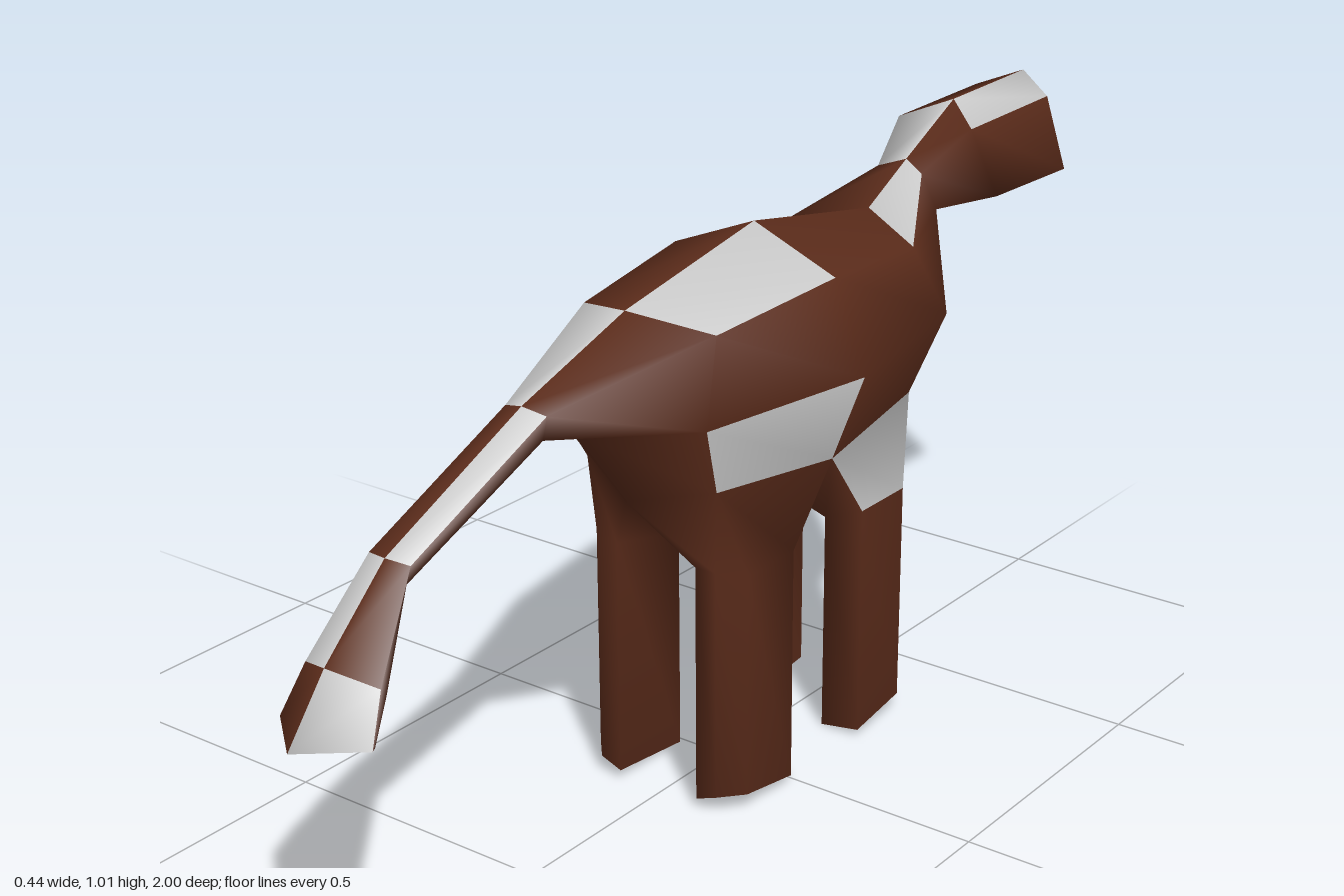
import * as THREE from 'three';

const mat = (color) => new THREE.MeshStandardMaterial({ color, roughness: 0.9 });
const MID = -0.09; // the trunk and legs mirror front to back about this z

// Trunk: the widest ring, then one end which is mirrored for the other
const midRing = { T0: [0, 0.935, MID], U0: [0.16, 0.87, MID], S0: [0.22, 0.715, MID], L0: [0.16, 0.56, MID], B0: [0, 0.5, MID] };
const endPoints = {
  T: [0, 0.875, 0.245], U: [0.13, 0.845, 0.185], S: [0.16, 0.715, 0.25], L: [0.13, 0.585, 0.185], C: [0, 0.56, 0.25],
  // leg section, top (p) and sole (q)
  p0: [0.08, 0.4, 0.01], p1: [0.155, 0.43, 0.01], p2: [0.155, 0.43, 0.135], p3: [0.12, 0.44, 0.175], p4: [0.08, 0.44, 0.175],
  q0: [0.08, 0.003, 0.01], q1: [0.155, 0.015, 0.01], q2: [0.155, 0.035, 0.135], q3: [0.12, 0.035, 0.175], q4: [0.08, 0.02, 0.175],
};

// Tail and head: rings of top, upper side, lower side, bottom
const tailRings = [
  [[0, 0.795, 0.49], [0.04, 0.785, 0.48], [0.04, 0.75, 0.49], [0, 0.745, 0.48]],
  [[0, 0.66, 0.79], [0.04, 0.655, 0.78], [0.04, 0.63, 0.79], [0, 0.625, 0.78]],
  [[0, 0.54, 0.92], [0.073, 0.515, 0.885], [0.073, 0.5, 0.875], [0, 0.535, 0.855]],
  [[0, 0.44, 1], [0.09, 0.44, 0.925], [0.085, 0.44, 0.915], [0, 0.5, 0.9]],
];
const headRings = [
  [[0, 0.935, -0.54], [0.045, 0.92, -0.52], [0.055, 0.85, -0.555], [0, 0.77, -0.585]],
  [[0, 1.01, -0.69], [0.075, 0.98, -0.63], [0.09, 0.845, -0.7], [0, 0.83, -0.625]],
  [[0, 1.015, -0.93], [0.075, 0.985, -0.89], [0.09, 0.84, -0.94], [0, 0.9, -1]],
];

// Collects mirrored faces of the skin; white is 'l' (+x), 'r' (-x) or both
function buildSkin() {
  const points = [], ids = new Map(), parts = {};
  const id = (p) => {
    const key = p.map((v) => Math.round(v * 1e4)).join();
    if (!ids.has(key)) { ids.set(key, points.length); points.push(p); }
    return ids.get(key);
  };
  const add = (name, face, front, white = '') => {
    for (const s of [1, -1]) {
      let f = face.map(([x, y, z]) => id([x === 0 ? 0 : x * s, y, z]));
      if (front !== (s > 0)) f = f.reverse();
      const part = (parts[name] ??= { brown: [], white: [] });
      const list = part[white.includes(s > 0 ? 'l' : 'r') ? 'white' : 'brown'];
      for (let i = 1; i < f.length - 1; i++) list.push(f[0], f[i], f[i + 1]);
    }
  };
  const loft = (name, rings, front, whites) => {
    for (let r = 0; r < rings.length - 1; r++)
      for (let i = 0; i < 3; i++)
        add(name, [rings[r][i], rings[r][i + 1], rings[r + 1][i + 1], rings[r + 1][i]], front, i === 0 ? whites[r] : '');
    const [T, U, L, B] = rings.at(-1);
    add(name, [B, T, U, L], front);
  };

  for (const front of [false, true]) {
    const P = { ...midRing };
    for (const [k, [x, y, z]] of Object.entries(endPoints)) P[k] = [x, y, front ? 2 * MID - z : z];
    P.K = front ? [0, 0.715, -0.56] : [0, 0.72, 0.38];
    [P.rT, P.rU, P.rL, P.rB] = (front ? headRings : tailRings)[0];
    // trunk faces and their white patches
    const faces = [
      ['T0 U0 U T', front ? 'r' : 'l'], ['U0 S0 S U'], ['S0 L0 L S', front ? '' : 'lr'],
      ['L0 p1 p2 L', front ? 'lr' : ''], ['L0 B0 p0 p1'],
      ['T U rU rT', front ? 'l' : 'r'], ['U S rL rU'], ['S K rB rL'], ['S L C K'],
      ['L p2 p3'], ['L p3 p4 C'], ['C p4 p0 B0'],
    ];
    for (const [keys, white] of faces) add('body', keys.split(' ').map((k) => P[k]), front, white);
    // legs
    const legs = front ? 'frontLegs' : 'rearLegs';
    for (let i = 0; i < 5; i++) {
      const j = (i + 1) % 5;
      add(legs, [P['p' + i], P['q' + i], P['q' + j], P['p' + j]], front);
    }
    add(legs, [P.q4, P.q3, P.q2, P.q1, P.q0], front);
  }
  loft('tail', tailRings, false, ['l', 'r', 'l']);
  loft('head', headRings, true, ['r', 'l']);
  return { points, parts };
}

// Turns the skin into one mesh per part, with normals smooth across the seams
function skinMeshes(group) {
  const { points, parts } = buildSkin();
  const whole = new THREE.BufferGeometry();
  whole.setAttribute('position', new THREE.Float32BufferAttribute(points.flat(), 3));
  whole.setIndex(Object.values(parts).flatMap((p) => [...p.brown, ...p.white]));
  whole.computeVertexNormals();
  const materials = [mat(0x5a2b1a), mat(0xcccccc)];
  for (const [name, { brown, white }] of Object.entries(parts)) {
    const shared = whole.clone();
    shared.setIndex([...brown, ...white]);
    const geometry = shared.toNonIndexed();
    geometry.addGroup(0, brown.length, 0);
    if (white.length) geometry.addGroup(brown.length, white.length, 1);
    const mesh = new THREE.Mesh(geometry, materials);
    mesh.name = name;
    group.add(mesh);
  }
}

// A group lying on a sloping face plane z = -1 + a|x| + b(y - 0.9)
function onFace(name, side, a, b, x, y) {
  const g = new THREE.Group();
  const n = new THREE.Vector3(side * a, b, -1).normalize();
  const u = new THREE.Vector3(1, 0, side * a).normalize();
  g.quaternion.setFromRotationMatrix(new THREE.Matrix4().makeBasis(u, n.clone().cross(u), n));
  g.position.set(side * x, y, -1 + a * x + b * (y - 0.9));
  g.name = name;
  return g;
}

export function createModel() {
  const group = new THREE.Group();
  group.name = 'cow';
  skinMeshes(group);

  const blue = mat(0x1f8fb5), pale = mat(0xcccccc);
  for (const side of [1, -1]) {
    const label = side > 0 ? 'left' : 'right';
    // eye: four blue spots round a dark middle
    const eye = onFace(label + 'Eye', side, 0.776, 0.609, 0.037, 0.967);
    for (let i = 0; i < 4; i++) {
      const spot = new THREE.Mesh(new THREE.CircleGeometry(0.008, 8), blue);
      spot.position.set(0.014 * Math.cos((i * Math.PI) / 2), 0.014 * Math.sin((i * Math.PI) / 2), 0.002);
      eye.add(spot);
    }
    // half of the mouth, with a small drop at its corner
    const mouth = onFace(label + 'Mouth', side, 0.963, 0.444, 0.024, 0.902);
    const bar = new THREE.Mesh(new THREE.BoxGeometry(0.05, 0.011, 0.004), pale);
    const corner = new THREE.Mesh(new THREE.BoxGeometry(0.01, 0.01, 0.004), pale);
    corner.position.set(side * 0.027, -0.011, 0);
    mouth.add(bar, corner);
    group.add(eye, mouth);
  }
  return group;
}
